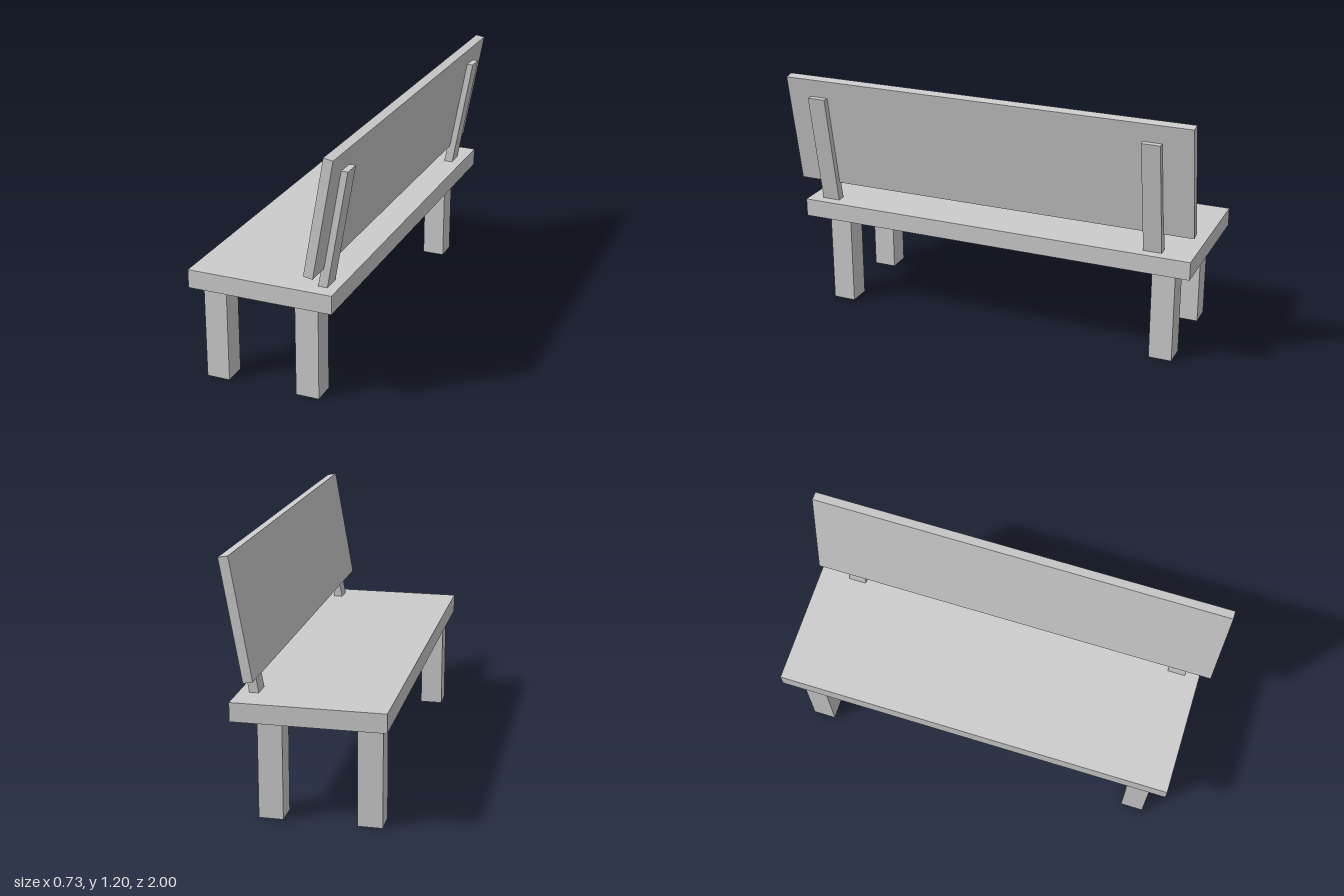
import * as THREE from 'three';

const material = new THREE.MeshStandardMaterial({ color: 0xcccccc, flatShading: true });

// Box given by its lower and upper limits on each axis
function block(name, [x0, x1], [y0, y1], [z0, z1]) {
  const mesh = new THREE.Mesh(new THREE.BoxGeometry(x1 - x0, y1 - y0, z1 - z0), material);
  mesh.position.set((x0 + x1) / 2, (y0 + y1) / 2, (z0 + z1) / 2);
  mesh.name = name;
  return mesh;
}

export function createModel() {
  const bench = new THREE.Group();
  bench.name = 'bench';

  // Seat slab
  bench.add(block('seat', [-0.367, 0.318], [0.473, 0.56], [-1, 0.95]));

  // Four square legs
  for (const x of [-0.333, 0.111]) {
    for (const z of [-0.908, 0.762]) {
      bench.add(block('leg', [x, x + 0.111], [0, 0.473], [z, z + 0.111]));
    }
  }

  // Backrest board, leaning back ten degrees
  const backrest = block('backrest', [-0.022, 0.022], [-0.275, 0.275], [-0.995, 1]);
  backrest.position.set(0.281, 0.922, 0.0025);
  backrest.rotation.z = -THREE.MathUtils.degToRad(10);
  bench.add(backrest);

  // Leaning uprights with level ends, let into the rear of the board
  const profile = new THREE.Shape([
    new THREE.Vector2(0.227, 0.56),
    new THREE.Vector2(0.27, 0.56),
    new THREE.Vector2(0.365, 1.102),
    new THREE.Vector2(0.322, 1.102),
  ]);
  const uprightGeometry = new THREE.ExtrudeGeometry(profile, { depth: 0.087, bevelEnabled: false });
  for (const z of [-0.853, 0.794]) {
    const upright = new THREE.Mesh(uprightGeometry, material);
    upright.position.z = z;
    upright.name = 'backrestUpright';
    bench.add(upright);
  }

  return bench;
}
